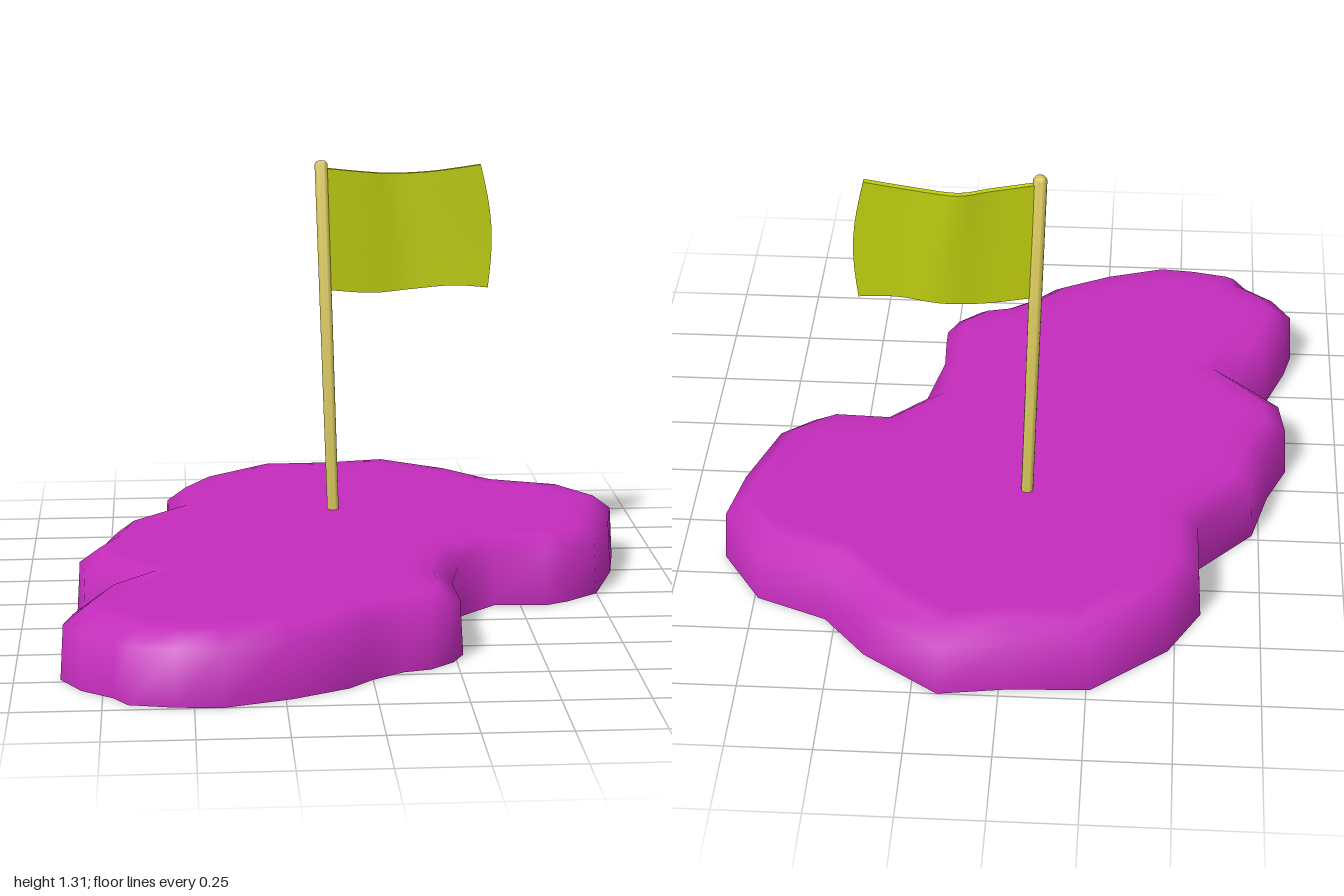
import * as THREE from 'three';
import { toCreasedNormals } from 'three/addons/utils/BufferGeometryUtils.js';

const material = (color) => new THREE.MeshStandardMaterial({ color });
const v2 = (x, y) => new THREE.Vector2(x, y);

// Island shoreline as x, z pairs
const SHORE = [
  0.175, -1, -0.03, -0.97, -0.26, -0.96, -0.48, -0.78, -0.575, -0.61, -0.57, -0.4,
  -0.73, -0.23, -0.78, -0.04, -0.84, 0.1, -0.82, 0.23, -0.67, 0.375, -0.78, 0.46,
  -0.845, 0.63, -0.87, 0.73, -0.81, 0.83, -0.72, 0.9, -0.68, 0.96, -0.55, 0.99,
  -0.42, 1, -0.23, 0.94, -0.07, 0.86, 0, 0.79, 0.09, 0.73, 0.17, 0.71,
  0.24, 0.65, 0.275, 0.58, 0.275, 0.51, 0.27, 0.4, 0.31, 0.21, 0.42, 0.105,
  0.58, 0.115, 0.65, 0.08, 0.75, 0, 0.83, -0.23, 0.865, -0.42, 0.74, -0.61,
  0.53, -0.695, 0.4, -0.845,
];

// Moves every shore point inward along the normal of its neighbours
function inset(points, d) {
  const n = points.length;
  return points.map((p, i) => {
    const t = points[(i + 1) % n].clone().sub(points[(i + n - 1) % n]).normalize();
    return v2(p.x + t.y * d, p.y - t.x * d);
  });
}

function islandGeometry() {
  const shore = [];
  for (let i = 0; i < SHORE.length; i += 2) shore.push(v2(SHORE[i], SHORE[i + 1]));
  const n = shore.length;
  // Rings as [height, inset]: foot, shoulder, rim, inner top
  const rings = [[0, 0], [0.16, 0.01], [0.205, 0.07], [0.205, 0.13]]
    .map(([y, d]) => ({ y, pts: inset(shore, d) }));
  const position = [], index = [];
  for (const { y, pts } of rings) for (const p of pts) position.push(p.x, y, p.y);
  for (let r = 0; r < rings.length - 1; r++) {
    for (let i = 0; i < n; i++) {
      const a = r * n + i, b = r * n + (i + 1) % n;
      index.push(a, b, b + n, a, b + n, a + n);
    }
  }
  // Flat caps, turned to face up or down
  const cap = (r, up) => {
    const pts = rings[r].pts;
    for (const [a, b, c] of THREE.ShapeUtils.triangulateShape(pts, [])) {
      const area = pts[b].clone().sub(pts[a]).cross(pts[c].clone().sub(pts[a]));
      const tri = (area < 0) === up ? [a, b, c] : [a, c, b];
      index.push(...tri.map((k) => r * n + k));
    }
  };
  cap(0, false);
  cap(3, true);
  const geometry = new THREE.BufferGeometry();
  geometry.setAttribute('position', new THREE.Float32BufferAttribute(position, 3));
  geometry.setIndex(index);
  return toCreasedNormals(geometry, 1.1);
}

// Waving cloth: a thin box bent along top, bottom and depth curves
function flagGeometry() {
  const spline = (...pts) => new THREE.SplineCurve(pts.map(([x, y]) => v2(x, y)));
  const top = spline([-0.065, 1.285], [0.06, 1.27], [0.15, 1.263], [0.27, 1.27], [0.415, 1.29]);
  const bottom = spline([-0.05, 0.905], [0.08, 0.893], [0.2, 0.9], [0.33, 0.912], [0.44, 0.905]);
  const depth = spline([0, -0.303], [0.1, -0.318], [0.35, -0.336], [0.65, -0.325], [1, -0.32]);
  const geometry = new THREE.BoxGeometry(1, 1, 0.018, 16, 8, 1);
  const pos = geometry.attributes.position;
  for (let i = 0; i < pos.count; i++) {
    const u = pos.getX(i) + 0.5, v = pos.getY(i) + 0.5;
    const p = bottom.getPoint(u).lerp(top.getPoint(u), v);
    const bulge = 0.022 * u * u * Math.sin(Math.PI * v);
    pos.setXYZ(i, p.x + bulge, p.y, depth.getPoint(u).y + pos.getZ(i));
  }
  return toCreasedNormals(geometry, 0.8);
}

export function createModel() {
  const model = new THREE.Group();
  const add = (name, geometry, color) => {
    const mesh = new THREE.Mesh(geometry, material(color));
    mesh.name = name;
    model.add(mesh);
    return mesh;
  };

  add('island', islandGeometry(), 0xc42cbc);

  // Slightly leaning pole with a rounded tip
  const foot = new THREE.Vector3(-0.043, 0.15, -0.3);
  const tip = new THREE.Vector3(-0.08, 1.31, -0.3);
  const length = foot.distanceTo(tip);
  const profile = [v2(0, 0), v2(0.018, 0), v2(0.02, length - 0.012), v2(0.014, length - 0.003), v2(0, length)];
  const pole = add('pole', toCreasedNormals(new THREE.LatheGeometry(profile, 16), 1), 0xd6c65a);
  pole.position.copy(foot);
  pole.quaternion.setFromUnitVectors(new THREE.Vector3(0, 1, 0), tip.clone().sub(foot).normalize());

  add('flag', flagGeometry(), 0xc0d010);
  return model;
}
